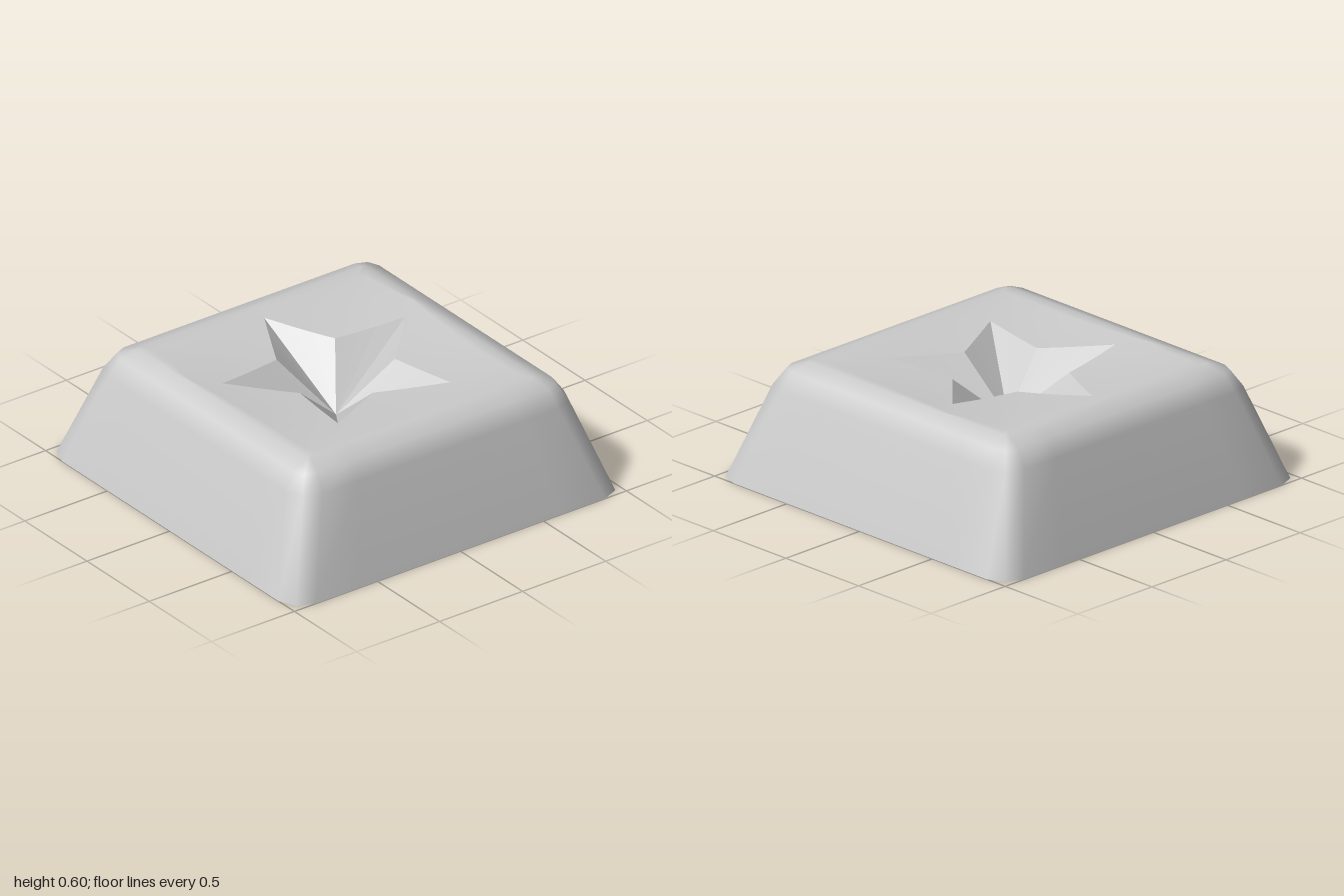
import * as THREE from 'three';

const N = 40; // points per ring, ten per side
const TOP = 0.6, TOP_HALF = 0.685, DISH = 0.045;
const rad = THREE.MathUtils.degToRad;

// Point k of a rounded square with half width h and corner radius r
function squarePoint(h, r, k, y) {
  const side = Math.floor((k + 5) / 10), j = k - side * 10;
  const corner = j === -5;
  const u = corner ? -(h - r + r * Math.SQRT1_2) : Math.tan(rad(9 * j)) / Math.tan(rad(36)) * (h - r);
  const v = corner ? -u : h;
  const a = side * Math.PI / 2, c = Math.cos(a), s = Math.sin(a);
  return new THREE.Vector3(u * c + v * s, y, -u * s + v * c);
}

// Shallow hollow of the top face
function dishY(x, z) {
  return TOP - DISH * (1 - (x / TOP_HALF) ** 2) * (1 - (z / TOP_HALF) ** 2);
}

// Point k on the five-pointed star outline, lying on the hollow
function starPoint(k) {
  const tip = 0.578, notch = 0.3, m = k % 8;
  const a = rad(9 * (m <= 4 ? m : 8 - m)), w = rad(36);
  const r = notch * tip * Math.sin(w) / (notch * Math.sin(a) + tip * Math.sin(w - a));
  const x = r * Math.sin(rad(9 * k)), z = r * Math.cos(rad(9 * k));
  return new THREE.Vector3(x, dishY(x, z), z);
}

const ring = (fn) => Array.from({ length: N }, (_, k) => fn(k));

// Skin a stack of rings, each with N points
function loft(rings) {
  const index = [];
  for (let i = 0; i < rings.length - 1; i++) {
    for (let k = 0; k < N; k++) {
      const a = i * N + k, b = i * N + (k + 1) % N;
      index.push(a, b, b + N, a, b + N, a + N);
    }
  }
  const geo = new THREE.BufferGeometry().setFromPoints(rings.flat());
  geo.setIndex(index);
  geo.computeVertexNormals();
  return geo;
}

// Triangles from one centre point to a ring
function fan(points, centre, flip) {
  const index = [];
  for (let k = 0; k < N; k++) {
    const n = (k + 1) % N;
    index.push(...(flip ? [n, k, N] : [k, n, N]));
  }
  const geo = new THREE.BufferGeometry().setFromPoints([...points, centre]);
  geo.setIndex(index);
  geo.computeVertexNormals();
  return geo;
}

export function createModel() {
  const group = new THREE.Group();
  const add = (name, geo, flatShading = false) => {
    const mesh = new THREE.Mesh(geo, new THREE.MeshStandardMaterial({ color: 0xcccccc, flatShading }));
    mesh.name = name;
    group.add(mesh);
  };

  // Sloping sides and rounded shoulder: height, half width, corner radius
  const profile = [[0, 1, 0.13], [0.48, 0.84, 0.13], [0.565, 0.78, 0.085], [TOP, TOP_HALF, 0.02]];
  const rings = profile.map(([y, h, r]) => ring((k) => squarePoint(h, r, k, y)));

  // Hollow top running in to the star outline
  const edge = rings[rings.length - 1], star = ring(starPoint), steps = 7;
  for (let i = 1; i <= steps; i++) {
    rings.push(ring((k) => {
      const p = edge[k].clone().lerp(star[k], i / steps);
      p.y = dishY(p.x, p.z);
      return p;
    }));
  }
  add('body', loft(rings));

  // Faceted star sunk into the top
  add('starRecess', fan(star, new THREE.Vector3(0, 0.31, 0), false), true);

  // Flat underside
  add('underside', fan(rings[0], new THREE.Vector3(0, 0, 0), true), true);

  return group;
}
